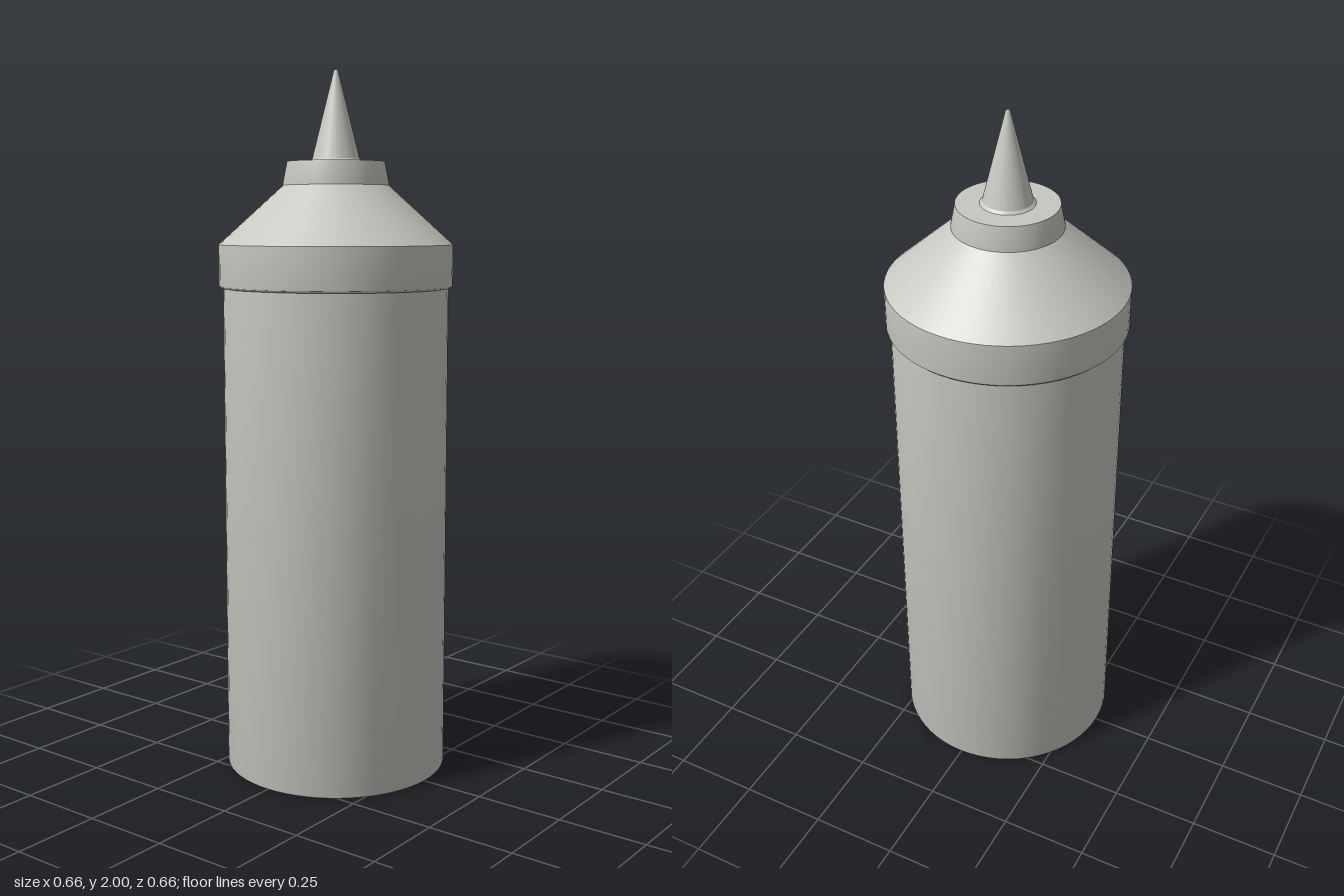
import * as THREE from 'three';
import { toCreasedNormals } from 'three/addons/utils/BufferGeometryUtils.js';

const plastic = new THREE.MeshStandardMaterial({ color: 0xc8c8c2 });
plastic.name = 'warm grey plastic';

// Revolves a [radius, height] profile, listed from bottom to top
function turned(name, profile) {
  const points = profile.map(([r, y]) => new THREE.Vector2(r, y));
  const geometry = toCreasedNormals(new THREE.LatheGeometry(points, 64), 0.5);
  const mesh = new THREE.Mesh(geometry, plastic);
  mesh.name = name;
  return mesh;
}

export function createModel() {
  const bottle = new THREE.Group();
  bottle.name = 'squeezeBottle';

  bottle.add(
    // Straight body with a tiny rounded foot
    turned('body', [[0, 0], [0.316, 0], [0.319, 0.002], [0.32, 0.006], [0.32, 1.41], [0, 1.41]]),
    // Screw cap: band with an eased lower edge, then a conical shoulder
    turned('cap', [[0, 1.395], [0.326, 1.395], [0.331, 1.4], [0.332, 1.405], [0.332, 1.517], [0.146, 1.685], [0, 1.685]]),
    // Tapered collar under the nozzle
    turned('collar', [[0, 1.682], [0.15, 1.682], [0.15, 1.687], [0.138, 1.748], [0, 1.748]]),
    // Nozzle with a small flared base and a blunt tip
    turned('nozzle', [[0, 1.745], [0.075, 1.747], [0.067, 1.755], [0.006, 1.998], [0.004, 2], [0, 2]])
  );
  return bottle;
}
